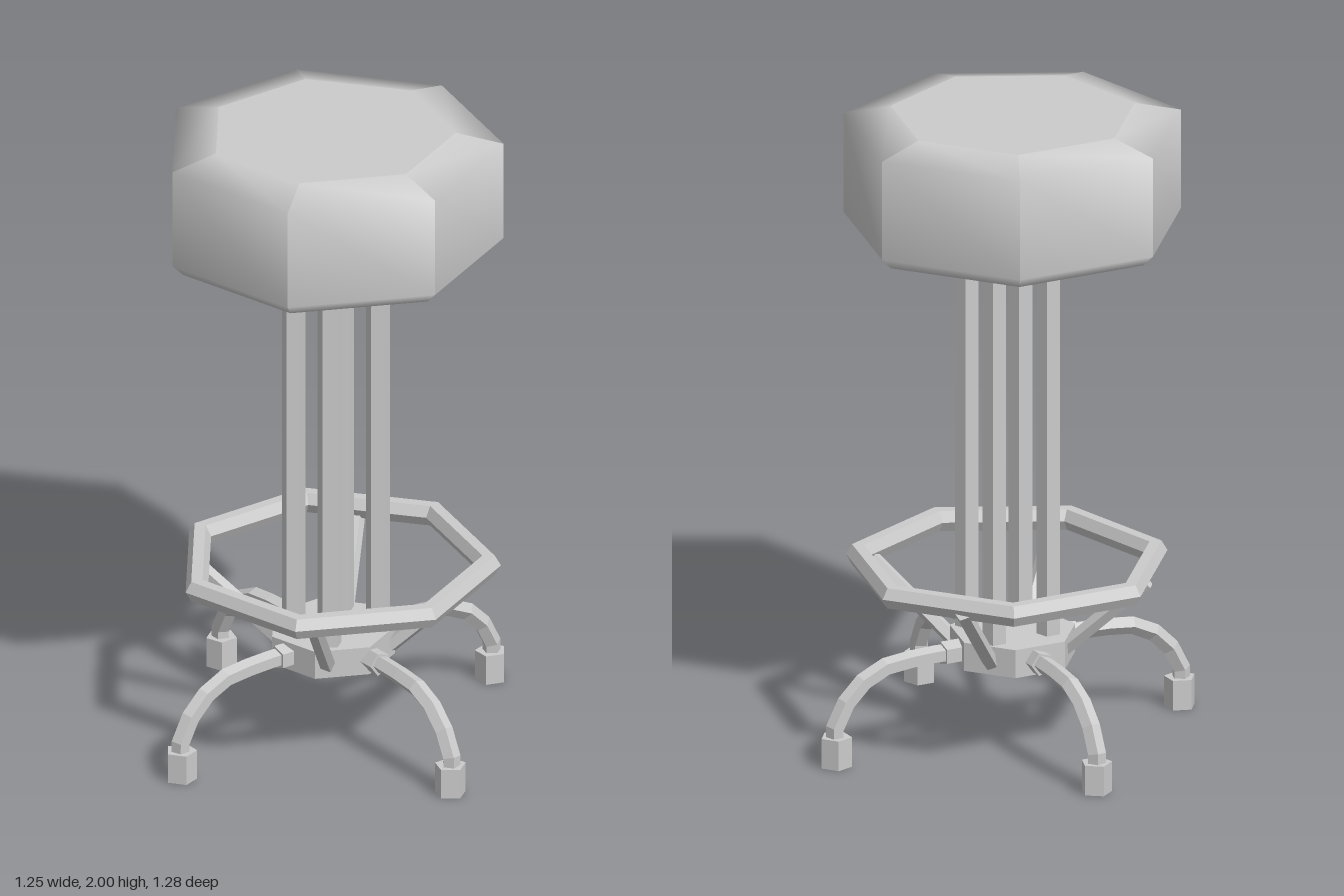
import * as THREE from 'three';
import { mergeGeometries } from 'three/addons/utils/BufferGeometryUtils.js';

const SIDES = 7;
const flat = new THREE.MeshStandardMaterial({ color: 0xcccccc, flatShading: true });
const smooth = new THREE.MeshStandardMaterial({ color: 0xcccccc });

function add(parent, name, geometry, material = flat) {
  const mesh = new THREE.Mesh(geometry, material);
  mesh.name = name;
  parent.add(mesh);
  return mesh;
}

// Upright prism with one corner pointing to +x
function prism(radius, y0, y1, sides) {
  return new THREE.CylinderGeometry(radius, radius, y1 - y0, sides, 1, false, Math.PI / 2)
    .translate(0, (y0 + y1) / 2, 0);
}

// Straight bar between two points
function bar(a, b, radius, sides) {
  const dir = b.clone().sub(a);
  const g = new THREE.CylinderGeometry(radius, radius, dir.length(), sides);
  g.applyQuaternion(new THREE.Quaternion().setFromUnitVectors(
    new THREE.Vector3(0, 1, 0), dir.clone().normalize()));
  const mid = a.clone().add(b).multiplyScalar(0.5);
  return g.translate(mid.x, mid.y, mid.z);
}

// Padded seat: panels smooth from rim to bevel, creased at each corner
function seatGeometry() {
  const profile = [[0.49, 1.615], [0.525, 1.65], [0.525, 1.965], [0.38, 2]]
    .map(([x, y]) => new THREE.Vector2(x, y));
  const parts = [];
  const step = Math.PI * 2 / SIDES;
  for (let i = 0; i < SIDES; i++) {
    const panel = new THREE.LatheGeometry(profile, 1, Math.PI / 2 + i * step, step);
    panel.computeVertexNormals();
    parts.push(panel);
  }
  parts.push(new THREE.CircleGeometry(0.38, SIDES).rotateX(-Math.PI / 2).translate(0, 2, 0));
  parts.push(new THREE.CircleGeometry(0.49, SIDES).rotateX(Math.PI / 2).translate(0, 1.615, 0));
  return mergeGeometries(parts);
}

export function createModel() {
  const model = new THREE.Group();
  model.name = 'barStool';

  // Seat and its mounting plate
  add(model, 'seatCushion', seatGeometry(), smooth).position.set(-0.01, 0, 0.014);
  add(model, 'seatPlate', prism(0.325, 1.565, 1.617, SIDES)).position.set(-0.01, 0, 0.014);

  // Base hub
  add(model, 'hub', prism(0.195, 0.255, 0.345, SIDES)).position.set(-0.01, 0, 0.012);

  // Footrest ring
  const ring = new THREE.TorusGeometry(0.4625, 0.0375, 6, SIDES).rotateX(Math.PI / 2);
  add(model, 'footrestRing', ring).position.y = 0.552;

  // Four posts and the braces that carry the ring
  for (const sx of [-1, 1]) {
    for (const sz of [-1, 1]) {
      add(model, 'post', prism(0.038, 0.34, 1.57, 5)).position.set(sx * 0.09, 0, sz * 0.092);
      const low = new THREE.Vector3(sx * 0.115, 0.29, sz * 0.12);
      const high = new THREE.Vector3(sx * 0.305, 0.54, sz * 0.315);
      add(model, 'brace', bar(low, high, 0.025, 5));
    }
  }

  // Curved legs with sockets and rubber feet
  for (let i = 0; i < 4; i++) {
    const reach = i % 2 ? 0.592 : 0.577;
    const path = new THREE.CatmullRomCurve3(
      [[-0.42, 0.3], [-0.28, 0.3], [-0.14, 0.28], [-0.045, 0.205], [0, 0.12], [0, 0.04]]
        .map(([x, y]) => new THREE.Vector3(reach + x, y, 0)));
    const leg = new THREE.Group();
    leg.name = 'leg';
    add(leg, 'legTube', new THREE.TubeGeometry(path, 7, 0.029, 5));
    add(leg, 'legSocket', bar(new THREE.Vector3(0.15, 0.3, 0), new THREE.Vector3(0.225, 0.3, 0), 0.038, 5));
    add(leg, 'foot', prism(0.049, 0, 0.095, 5)).position.x = reach - 0.003;
    leg.rotation.y = i * Math.PI / 2;
    model.add(leg);
  }
  return model;
}
